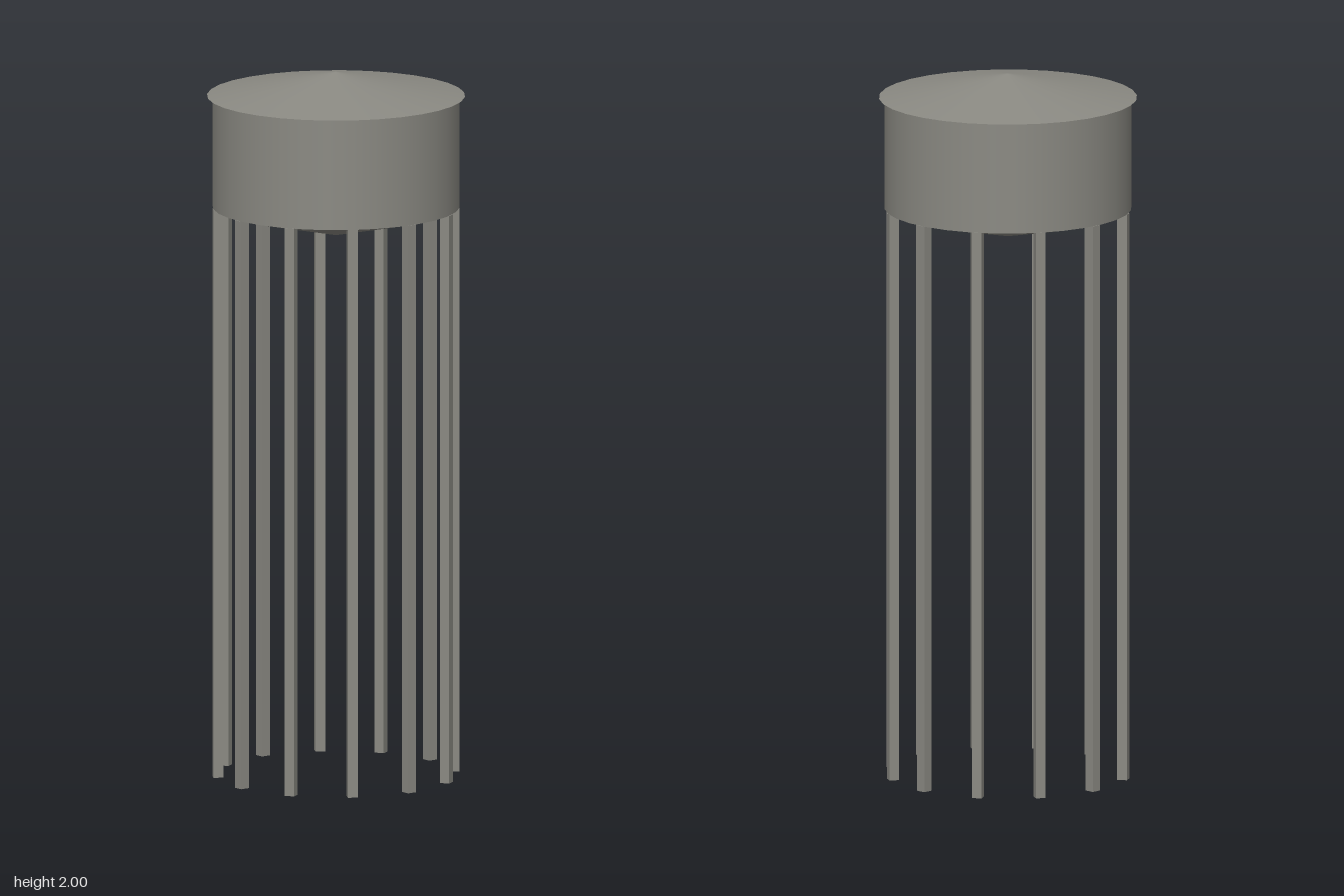
import * as THREE from 'three';

export function createModel() {
  const group = new THREE.Group();
  const steel = new THREE.MeshStandardMaterial({ color: 0x8a8982 });
  steel.name = 'weathered grey steel';

  const SIDES = 32, TANK_R = 0.346, TANK_BOTTOM = 1.617, TANK_TOP = 1.932;
  const add = (name, geometry, y, parent = group) => {
    const mesh = new THREE.Mesh(geometry, steel);
    mesh.name = name;
    mesh.position.y = y;
    parent.add(mesh);
    return mesh;
  };

  // Shallow conical roof with a small overhang
  const roofHeight = 2 - TANK_TOP;
  add('roof', new THREE.ConeGeometry(0.361, roofHeight, SIDES), TANK_TOP + roofHeight / 2);

  // Tank wall
  const wallHeight = TANK_TOP - TANK_BOTTOM;
  add('tankWall', new THREE.CylinderGeometry(TANK_R, TANK_R, wallHeight, SIDES, 1, true),
    TANK_BOTTOM + wallHeight / 2);

  // Conical tank floor pointing down
  const floorHeight = 0.083;
  add('tankFloor', new THREE.CylinderGeometry(TANK_R, 0, floorHeight, SIDES, 1, true),
    TANK_BOTTOM - floorHeight / 2);

  // Ring of twelve square legs, each turned to face outward
  const legs = new THREE.Group();
  legs.name = 'legs';
  group.add(legs);
  const legGeometry = new THREE.BoxGeometry(0.028, TANK_BOTTOM, 0.028);
  for (let i = 0; i < 12; i++) {
    const a = (i / 12) * Math.PI * 2;
    const leg = add('leg', legGeometry, TANK_BOTTOM / 2, legs);
    leg.position.x = Math.sin(a) * 0.333;
    leg.position.z = Math.cos(a) * 0.333;
    leg.rotation.y = a;
  }

  return group;
}
